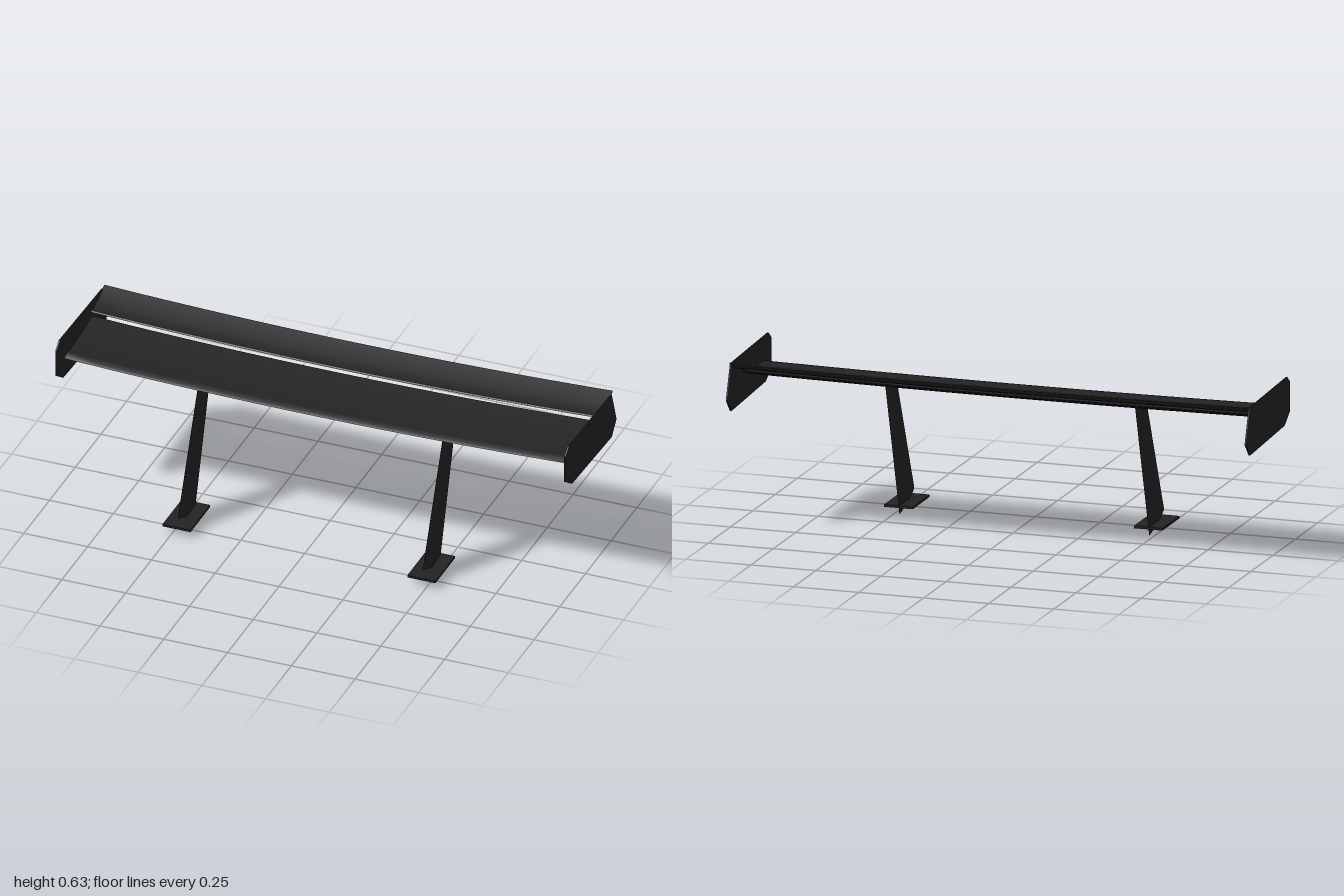
import * as THREE from 'three';
import { toCreasedNormals } from 'three/addons/utils/BufferGeometryUtils.js';

// Skin a list of closed rings (arrays of Vector3, counter-clockwise about the path) and cap both ends
function loft(rings, crease = 0.7) {
  const pos = [];
  const tri = (...pts) => pts.forEach((p) => pos.push(p.x, p.y, p.z));
  const n = rings[0].length;
  for (let i = 0; i < rings.length - 1; i++) {
    for (let j = 0; j < n; j++) {
      const k = (j + 1) % n;
      const a = rings[i][j], b = rings[i][k], c = rings[i + 1][k], d = rings[i + 1][j];
      tri(a, b, c);
      tri(a, c, d);
    }
  }
  const cap = (ring, flip) => {
    const mid = ring.reduce((s, p) => s.add(p), new THREE.Vector3()).divideScalar(n);
    ring.forEach((p, j) => {
      const q = ring[(j + 1) % n];
      if (flip) tri(mid, q, p);
      else tri(mid, p, q);
    });
  };
  cap(rings[0], true);
  cap(rings[rings.length - 1], false);
  const geo = new THREE.BufferGeometry();
  geo.setAttribute('position', new THREE.Float32BufferAttribute(pos, 3));
  return toCreasedNormals(geo, crease);
}

// Wing blade: a [z, y] section swept across the span, bowing up and back at the tips
function blade(section) {
  const rings = [];
  const steps = 16;
  for (let i = 0; i <= steps; i++) {
    const t = -1 + (2 * i) / steps;
    const bow = t * t;
    rings.push(section.map(([z, y]) => new THREE.Vector3(t * 0.996, y + 0.012 * bow, z - 0.017 * bow)));
  }
  return loft(rings);
}

// Strut ring: a thin teardrop stretched between a front and a rear [z, y] point
function strutRing([fz, fy], [rz, ry], half) {
  const ring = [];
  for (let i = 0; i < 20; i++) {
    const a = (i / 20) * Math.PI * 2;
    const s = (1 - Math.cos(a)) / 2;
    const x = Math.sin(a) * half * (1.25 - 0.5 * s);
    ring.push(new THREE.Vector3(x, fy + (ry - fy) * s, fz + (rz - fz) * s));
  }
  return ring;
}

export function createModel() {
  const group = new THREE.Group();
  const black = new THREE.MeshStandardMaterial({ color: 0x232323 });
  black.name = 'satin black';

  const add = (name, geometry, x = 0, y = 0, z = 0) => {
    const mesh = new THREE.Mesh(geometry, black);
    mesh.name = name;
    mesh.position.set(x, y, z);
    group.add(mesh);
    return mesh;
  };

  // Main plane and raised rear flap, with a slot between them
  add('mainPlane', blade([
    [-0.13, 0.551], [-0.05, 0.537], [0.03, 0.529], [0.1, 0.527], [0.128, 0.526],
    [0.137, 0.519], [0.12, 0.511], [0.06, 0.505], [-0.02, 0.512], [-0.08, 0.53], [-0.13, 0.547],
  ]));
  add('flap', blade([
    [-0.257, 0.611], [-0.19, 0.586], [-0.145, 0.576], [-0.128, 0.575],
    [-0.123, 0.57], [-0.13, 0.565], [-0.17, 0.568], [-0.21, 0.581], [-0.258, 0.608],
  ]));

  // End plates
  const outline = [
    [0.192, 0.605], [0.16, 0.63], [-0.257, 0.616], [-0.303, 0.488],
    [-0.257, 0.437], [0.13, 0.455], [0.192, 0.497],
  ];
  const plateShape = new THREE.Shape(outline.map(([z, y]) => new THREE.Vector2(-z, y)));
  const plateGeo = new THREE.ExtrudeGeometry(plateShape, { depth: 0.006, bevelEnabled: false });
  plateGeo.translate(0, 0, -0.003).rotateY(Math.PI / 2);

  // Raked struts and their mounting feet
  const strutGeo = loft([
    strutRing([0.29, 0.063], [0.127, 0], 0.0065),
    strutRing([0.092, 0.514], [-0.029, 0.517], 0.0065),
  ], 0.9);
  const footGeo = new THREE.BoxGeometry(0.11, 0.009, 0.19);

  for (const [side, s] of [['left', 1], ['right', -1]]) {
    add(side + 'EndPlate', plateGeo, s * 0.997);
    add(side + 'Strut', strutGeo, s * 0.48);
    add(side + 'Foot', footGeo, s * 0.48, 0.03, 0.21);
  }
  return group;
}
